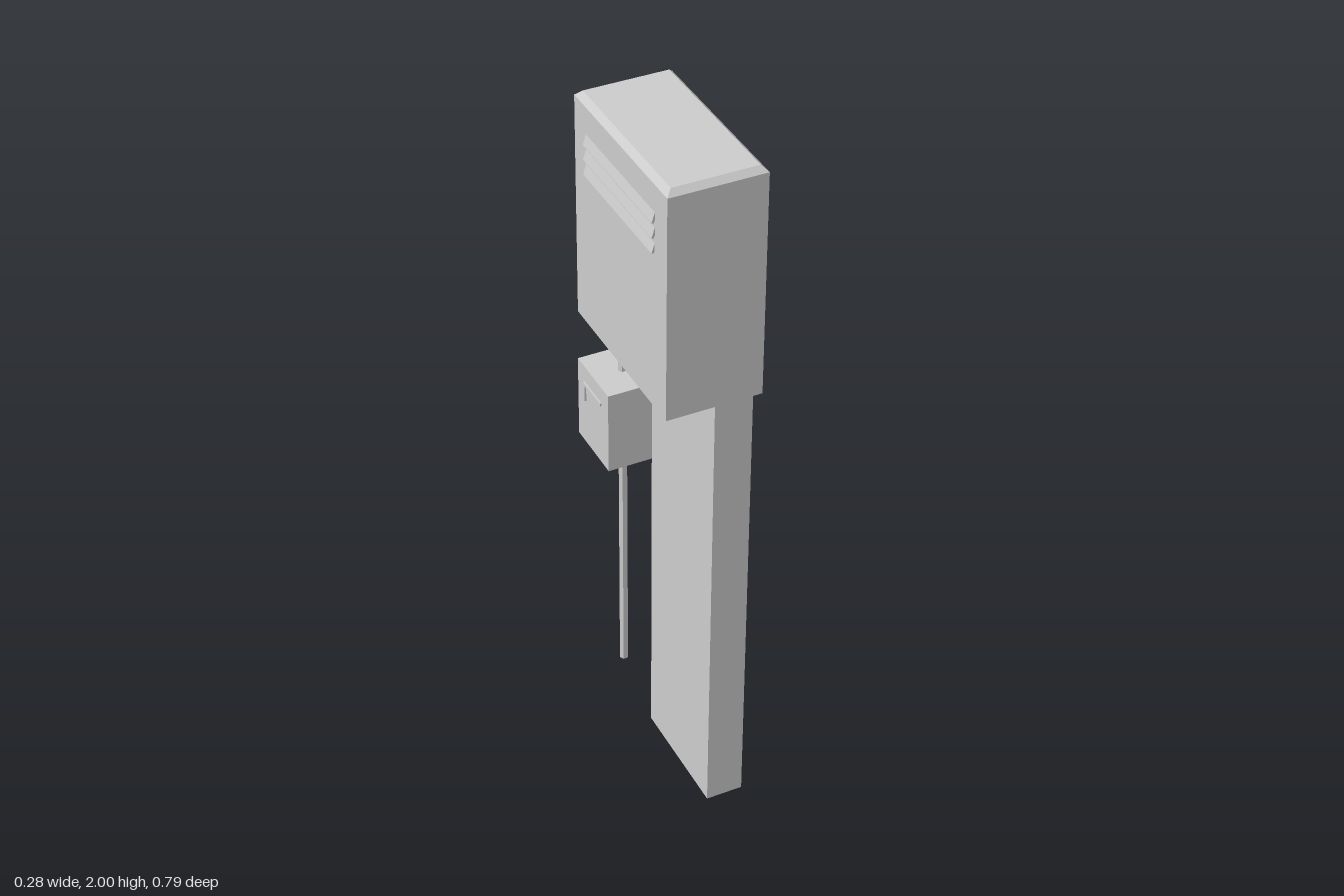
import * as THREE from 'three';

const grey = new THREE.MeshStandardMaterial({ color: 0xcccccc });
grey.name = 'paintedMetalGrey';

export function createModel() {
  const model = new THREE.Group();
  model.name = 'utilityPost';

  const add = (name, geometry) => {
    const mesh = new THREE.Mesh(geometry, grey);
    mesh.name = name;
    model.add(mesh);
    return mesh;
  };

  // Box given by its lower and upper limits on each axis
  const box = (name, [x0, x1], [y0, y1], [z0, z1]) => {
    const mesh = add(name, new THREE.BoxGeometry(x1 - x0, y1 - y0, z1 - z0));
    mesh.position.set((x0 + x1) / 2, (y0 + y1) / 2, (z0 + z1) / 2);
    return mesh;
  };

  // Six-sided pipe between two points
  const pipe = (name, from, to, radius, spin) => {
    const a = new THREE.Vector3(...from), b = new THREE.Vector3(...to);
    const geometry = new THREE.CylinderGeometry(radius, radius, a.distanceTo(b), 6).rotateY(spin).toNonIndexed();
    geometry.computeVertexNormals();
    const mesh = add(name, geometry);
    mesh.position.copy(a).add(b).multiplyScalar(0.5);
    mesh.quaternion.setFromUnitVectors(new THREE.Vector3(0, 1, 0), b.sub(a).normalize());
  };

  // Flat column
  box('column', [0.032, 0.133], [0.025, 1.388], [-0.018, 0.323]);

  // Cabinet with a bevelled top edge
  const w = 0.25, h = 0.62, d = 0.488, bevel = 0.015;
  let cabinet = new THREE.BoxGeometry(w, h, d, 1, 2, 1);
  const p = cabinet.attributes.position;
  for (let i = 0; i < p.count; i++) {
    if (p.getY(i) > h / 2 - 0.001) {
      p.setX(i, p.getX(i) - Math.sign(p.getX(i)) * bevel);
      p.setZ(i, p.getZ(i) - Math.sign(p.getZ(i)) * bevel);
    } else if (Math.abs(p.getY(i)) < 0.001) {
      p.setY(i, h / 2 - bevel);
    }
  }
  cabinet = cabinet.toNonIndexed();
  cabinet.computeVertexNormals();
  add('cabinet', cabinet).position.set(-0.006, 1.38 + h / 2, 0.15);

  // Raised door panel
  box('doorPanel', [0.115, 0.135], [1.43, 1.95], [-0.04, 0.342]);

  // Louvres on the other side, tilted outward
  for (let i = 0; i < 3; i++) {
    const y = 1.82 + i * 0.04;
    box('louvre', [-0.135, -0.129], [y - 0.014, y + 0.014], [-0.032, 0.332]).rotation.z = -0.3;
  }

  // Meter box with an angled rail on its face
  box('meterBox', [0, 0.137], [0.757, 1.0], [-0.396, -0.21]);
  box('meterRail', [-0.005, 0.001], [0.943, 0.952], [-0.355, -0.25]);
  box('meterRail', [-0.005, 0.001], [0.895, 0.943], [-0.355, -0.346]);

  // Conduit: ground to meter, meter to elbow, elbow to column
  const x = 0.084, z = -0.302;
  pipe('groundConduit', [x, 0, z], [x, 0.76, z], 0.0125, Math.PI / 6 * 3);
  pipe('upperConduit', [x, 0.99, z], [x, 1.172, z], 0.0125, Math.PI / 6 * 3);
  pipe('armConduit', [x, 1.17, -0.01], [x, 1.17, -0.313], 0.0135, 0);

  return model;
}
